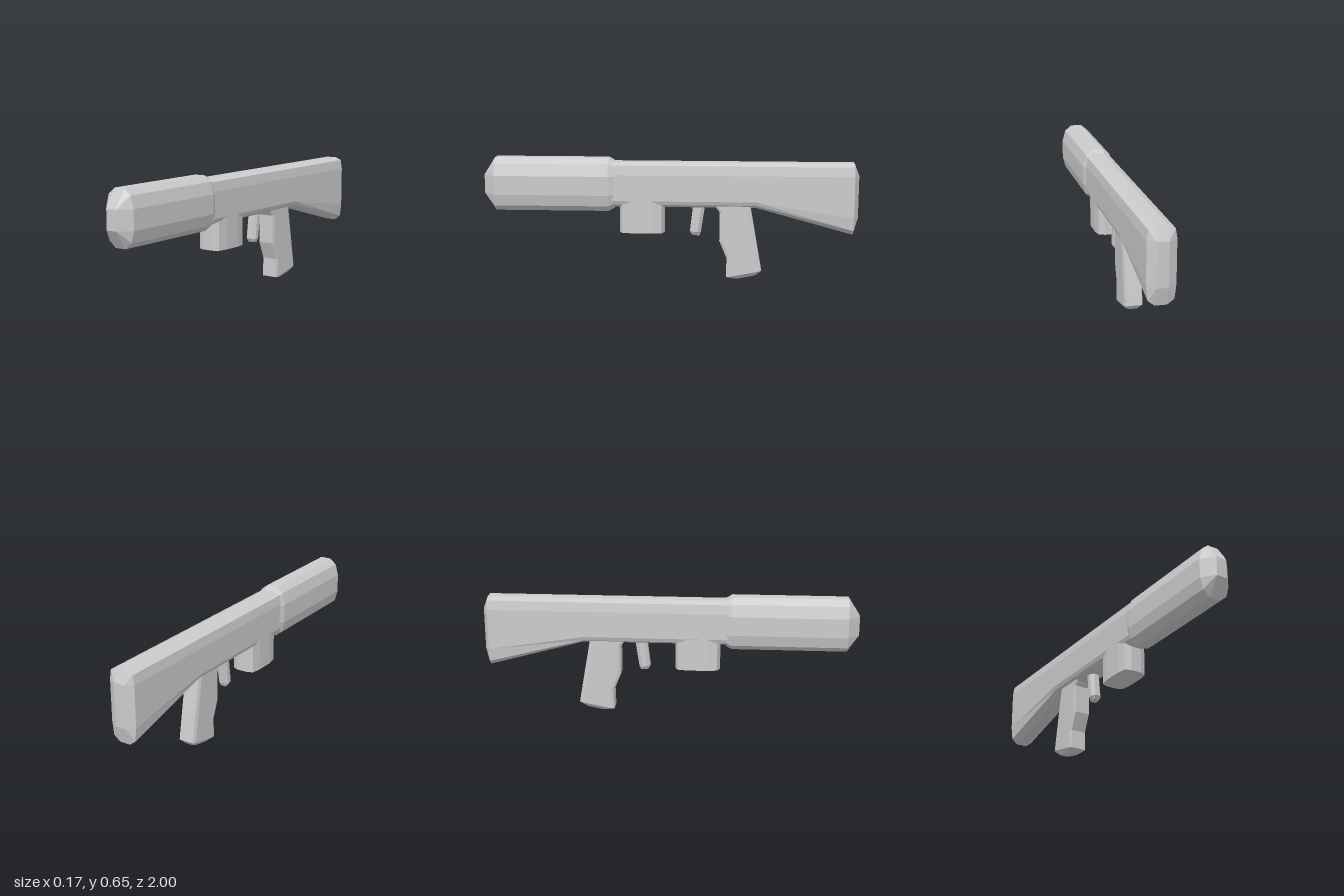
import * as THREE from 'three';

const material = new THREE.MeshStandardMaterial({ color: 0xcccccc, flatShading: true });

// Skin a list of equal-length rings of [x, y, z] points and close both ends
function loft(name, rings) {
  const n = rings[0].length;
  const pos = rings.flat(2);
  const index = [];
  for (let r = 0; r < rings.length - 1; r++) {
    for (let i = 0; i < n; i++) {
      const j = (i + 1) % n;
      const a = r * n + i, b = r * n + j, c = a + n, d = b + n;
      index.push(a, c, b, b, c, d);
    }
  }
  const last = (rings.length - 1) * n;
  for (let i = 1; i < n - 1; i++) {
    index.push(0, i, i + 1);
    index.push(last, last + i + 1, last + i);
  }
  const indexed = new THREE.BufferGeometry();
  indexed.setAttribute('position', new THREE.Float32BufferAttribute(pos, 3));
  indexed.setIndex(index);
  const geometry = indexed.toNonIndexed();
  geometry.computeVertexNormals();
  const mesh = new THREE.Mesh(geometry, material);
  mesh.name = name;
  return mesh;
}

// Mirror a half outline of [x, v] pairs, then place each point in space
const ring = (half, place) => [
  ...half.map(([x, v]) => place(x, v)),
  ...half.slice().reverse().map(([x, v]) => place(-x, v)),
];
// Upright section across the long axis; these are listed from back to front
const section = (z, half) => ring(half, (x, y) => [x, y, z]);
// Level section from a front to a back edge; these are listed from top to bottom
function slice(front, back, half) {
  const [zf, yf] = front, [zb, yb] = back;
  return ring(half, (x, t) => [x, yf + (yb - yf) * t, zf + (zb - zf) * t]);
}

export function createModel() {
  const model = new THREE.Group();

  // Barrel shroud with bevelled ends
  const barrel = [[0.03, 0.655], [0.067, 0.625], [0.085, 0.562], [0.085, 0.46], [0.07, 0.4], [0.03, 0.368]];
  const shoulder = [[0.03, 0.637], [0.06, 0.61], [0.073, 0.56], [0.073, 0.46], [0.06, 0.41], [0.03, 0.385]];
  const nose = [[0.03, 0.562], [0.03, 0.562], [0.03, 0.562], [0.03, 0.46], [0.03, 0.46], [0.03, 0.46]];
  model.add(loft('barrelShroud', [
    section(0.3, shoulder), section(0.33, barrel), section(0.94, barrel), section(1, nose),
  ]));

  // Receiver running back into the flared stock
  const top = [[0.03, 0.635], [0.064, 0.62], [0.072, 0.57]];
  const receiver = [...top, [0.072, 0.43], [0.064, 0.41], [0.03, 0.393]];
  const butt = [...top, [0.072, 0.35], [0.064, 0.28], [0.03, 0.253]];
  const buttEnd = [[0.03, 0.57], [0.03, 0.57], [0.03, 0.57], [0.03, 0.345], [0.03, 0.345], [0.03, 0.345]];
  model.add(loft('receiverAndStock', [
    section(-1, buttEnd), section(-0.975, butt), section(-0.46, receiver), section(0.31, receiver),
  ]));

  // Straight block under the receiver
  const block = [[0.03, 0], [0.062, 0.06], [0.0715, 0.28], [0.0715, 0.72], [0.062, 0.94], [0.03, 1]];
  model.add(loft('foreBlock', [
    slice([0.27, 0.44], [0.03, 0.44], block), slice([0.27, 0.255], [0.03, 0.255], block),
  ]));

  // Trigger, leaning forward
  const finger = [[0.015, 0], [0.03, 0.3], [0.03, 0.7], [0.015, 1]];
  const tip = [[0.015, 0], [0.018, 0.3], [0.018, 0.7], [0.015, 1]];
  model.add(loft('trigger', [
    slice([-0.125, 0.42], [-0.19, 0.42], finger),
    slice([-0.106, 0.26], [-0.165, 0.255], finger),
    slice([-0.118, 0.24], [-0.155, 0.236], tip),
  ]));

  // Pistol grip with a stepped front edge and bevelled foot
  const grip = [[0.042, 0], [0.049, 0.08], [0.049, 0.9], [0.042, 1]];
  const foot = [[0.02, 0], [0.03, 0.15], [0.03, 0.85], [0.02, 1]];
  const levels = [
    [[-0.235, 0.41], [-0.428, 0.41]],
    [[-0.265, 0.37], [-0.435, 0.37]],
    [[-0.265, 0.213], [-0.462, 0.22]],
    [[-0.305, 0.117], [-0.478, 0.13]],
    [[-0.302, 0.013], [-0.492, 0.05]],
  ];
  model.add(loft('pistolGrip', [
    ...levels.map(([front, back]) => slice(front, back, grip)),
    slice([-0.35, 0], [-0.465, 0.022], foot),
  ]));

  return model;
}
